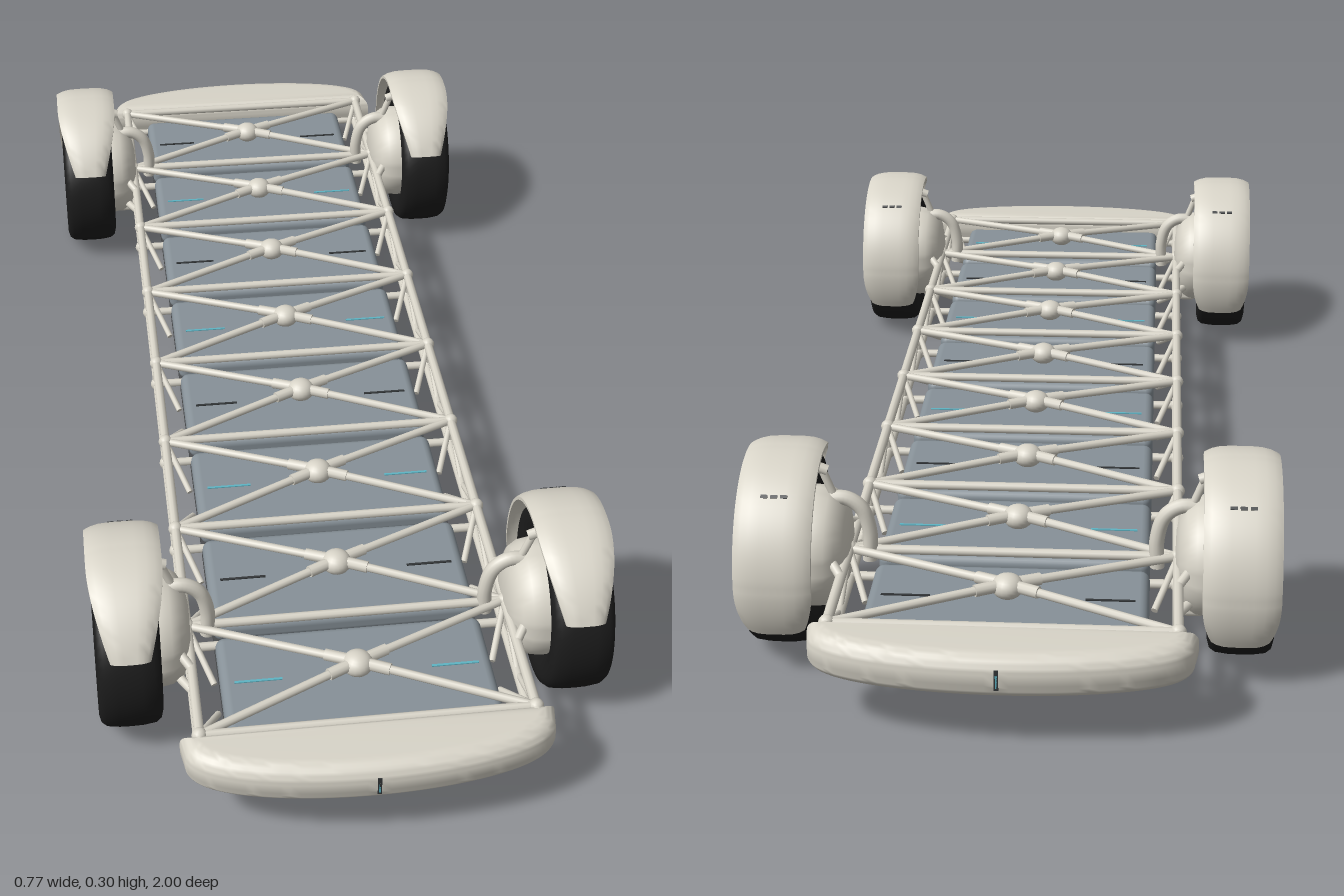
import * as THREE from 'three';
import { toCreasedNormals } from 'three/addons/utils/BufferGeometryUtils.js';
import { RoundedBoxGeometry } from 'three/addons/geometries/RoundedBoxGeometry.js';

const mat = (color, extra = {}) => new THREE.MeshStandardMaterial({ color, ...extra });
const BODY = mat(0xd8d4c8), SHELL = mat(0xd8d4c8, { side: THREE.DoubleSide });
const TYRE = mat(0x1c1c1c), CAP = mat(0xd2d2ce), PANEL = mat(0x879198);
const BELLY = mat(0x4a4c4e), DARK = mat(0x333638), LIGHT = mat(0x5fb4c4);
const V = (x, y, z) => new THREE.Vector3(x, y, z);
const BAYS = 8, PITCH = 0.224, END = BAYS * PITCH / 2;
const RAIL_X = 0.24, TOP_Y = 0.141, LOW_Y = 0.096;
const WHEEL_X = 0.331, WHEEL_Y = 0.146, WHEEL_Z = 0.673;

function add(parent, name, geometry, material, x = 0, y = 0, z = 0) {
  const mesh = new THREE.Mesh(geometry, material);
  mesh.name = name;
  mesh.position.set(x, y, z);
  parent.add(mesh);
  return mesh;
}

// Straight round bar between two points
function bar(parent, name, a, b, r, material = BODY) {
  const dir = b.clone().sub(a);
  const mesh = add(parent, name, new THREE.CylinderGeometry(r, r, dir.length(), 10), material);
  mesh.position.copy(a).add(b).multiplyScalar(0.5);
  mesh.quaternion.setFromUnitVectors(V(0, 1, 0), dir.normalize());
}

// Turned part with its axis along x
function turned(points, creased = 0.6) {
  const g = new THREE.LatheGeometry(points.map(p => new THREE.Vector2(...p)), 56);
  g.rotateZ(-Math.PI / 2);
  return toCreasedNormals(g, creased);
}

// Thin curved shell wrapping the top and back of a wheel, narrow at its front
function fenderGeometry() {
  const N = 48, M = 11, pos = [], idx = [];
  const a0 = THREE.MathUtils.degToRad(24), a1 = THREE.MathUtils.degToRad(207);
  for (let i = 0; i <= N; i++) {
    const t = i / N, a = a0 + (a1 - a0) * t;
    const w = 0.029 + 0.026 * Math.sin(Math.min(1, t / 0.32) * Math.PI / 2)
      - 0.014 * Math.max(0, (t - 0.85) / 0.15) ** 2;
    for (let j = 0; j < 2 * M; j++) {
      const inner = j >= M, k = inner ? 2 * M - 1 - j : j;
      const u = Math.sin((k / (M - 1) - 0.5) * Math.PI);
      const r = 0.159 - 0.009 * u ** 4 - (inner ? 0.005 : 0);
      pos.push(w * u, r * Math.sin(a), r * Math.cos(a));
    }
  }
  const L = 2 * M;
  for (let i = 0; i < N; i++) for (let j = 0; j < L; j++) {
    const p = i * L + j, q = i * L + (j + 1) % L;
    idx.push(p, q, p + L, q, q + L, p + L);
  }
  for (let k = 0; k < M - 1; k++) {
    const a = k, b = k + 1, c = L - 2 - k, d = L - 1 - k, e = N * L;
    idx.push(a, c, b, a, d, c, e + a, e + b, e + c, e + a, e + c, e + d);
  }
  const g = new THREE.BufferGeometry();
  g.setAttribute('position', new THREE.Float32BufferAttribute(pos, 3));
  g.setIndex(idx);
  return toCreasedNormals(g, 0.7);
}

// Rounded bumper, crescent-shaped from above
function bumperGeometry() {
  const s = new THREE.Shape();
  s.moveTo(-0.238, 0.917);
  s.lineTo(0.238, 0.917);
  s.bezierCurveTo(0.235, 0.945, 0.13, 0.973, 0, 0.973);
  s.bezierCurveTo(-0.13, 0.973, -0.235, 0.945, -0.238, 0.917);
  const g = new THREE.ExtrudeGeometry(s, {
    depth: 0.015, bevelThickness: 0.025, bevelSize: 0.027, bevelSegments: 8, curveSegments: 24 });
  g.rotateX(Math.PI / 2);
  g.translate(0, 0.125, 0);
  return toCreasedNormals(g, 0.7);
}

function buildCorner(root, s, z) {
  const corner = new THREE.Group();
  corner.name = 'wheelCorner';
  root.add(corner);

  // Wheel, cap and motor dome
  const wheel = new THREE.Group();
  wheel.name = 'wheel';
  wheel.position.set(s * WHEEL_X, WHEEL_Y, z);
  if (s < 0) wheel.rotation.y = Math.PI;
  corner.add(wheel);
  add(wheel, 'tyre', turned([[0.088, -0.036], [0.105, -0.044], [0.122, -0.047], [0.133, -0.044],
    [0.139, -0.036], [0.1415, -0.018], [0.142, 0], [0.1415, 0.018], [0.139, 0.036], [0.133, 0.044],
    [0.122, 0.047], [0.105, 0.044], [0.088, 0.036]], 1), TYRE);
  add(wheel, 'wheelCap', turned([[0, -0.036], [0.095, -0.036], [0.095, 0.042], [0.092, 0.0445], [0, 0.046]]), CAP);
  add(wheel, 'hubMotor', turned([[0, -0.095], [0.035, -0.094], [0.06, -0.089], [0.077, -0.079],
    [0.086, -0.065], [0.089, -0.048], [0.089, -0.03]], 1), BODY);
  const ring = add(wheel, 'capRing', new THREE.TorusGeometry(0.027, 0.0014, 8, 40), LIGHT, 0.046);
  ring.rotation.y = Math.PI / 2;

  // Fender with three small marks
  const fx = s * 0.328;
  add(corner, 'fender', fenderGeometry(), SHELL, fx, WHEEL_Y, z);
  const a = THREE.MathUtils.degToRad(129);
  for (const d of [-1, 0, 1]) {
    const mark = add(corner, 'fenderMark', new THREE.BoxGeometry(0.01, 0.002, 0.005), DARK,
      fx + d * 0.014, WHEEL_Y + 0.159 * Math.sin(a), z + 0.159 * Math.cos(a));
    mark.rotation.x = Math.PI / 2 - a;
  }

  // Curved arm over the motor, fender strut and wishbones
  const arm = new THREE.CatmullRomCurve3([V(s * 0.21, 0.125, z), V(s * 0.209, 0.17, z),
    V(s * 0.22, 0.207, z), V(s * 0.243, 0.223, z), V(s * 0.275, 0.22, z)]);
  add(corner, 'archArm', new THREE.TubeGeometry(arm, 24, 0.011, 12), BODY);
  bar(corner, 'fenderStrut', V(s * 0.258, 0.222, z), V(s * 0.276, 0.268, z), 0.006);
  bar(corner, 'fenderStrutHead', V(s * 0.268, 0.266, z), V(s * 0.29, 0.274, z), 0.008);
  bar(corner, 'strutLink', V(s * 0.276, 0.268, z), V(s * 0.3, 0.299, z), 0.005);
  for (const d of [-1, 1]) {
    bar(corner, 'upperWishbone', V(s * RAIL_X, TOP_Y, z + d * 0.09), V(s * 0.27, 0.165, z + d * 0.05), 0.007);
    bar(corner, 'lowerWishbone', V(s * RAIL_X, LOW_Y, z + d * 0.09), V(s * 0.27, 0.1, z + d * 0.04), 0.007);
  }
  add(corner, 'lowerBracket', new RoundedBoxGeometry(0.034, 0.05, 0.06, 2, 0.008), BODY, s * 0.263, 0.083, z);
}

export function createModel() {
  const root = new THREE.Group();
  root.name = 'rollingChassis';

  // Side rails
  for (const s of [-1, 1]) for (const y of [TOP_Y, LOW_Y])
    bar(root, 'sideRail', V(s * RAIL_X, y, -END - 0.02), V(s * RAIL_X, y, END + 0.02), 0.0075);

  // Cross members with joints at the rails
  for (let i = 0; i <= BAYS; i++) {
    const z = -END + i * PITCH;
    bar(root, 'upperCrossBar', V(-RAIL_X, TOP_Y, z), V(RAIL_X, TOP_Y, z), 0.007);
    bar(root, 'lowerCrossBar', V(-RAIL_X, LOW_Y, z), V(RAIL_X, LOW_Y, z), 0.007);
    for (const s of [-1, 1]) {
      bar(root, 'railPost', V(s * RAIL_X, LOW_Y, z), V(s * RAIL_X, TOP_Y, z), 0.007);
      for (const y of [TOP_Y, LOW_Y])
        add(root, 'railJoint', new THREE.SphereGeometry(0.0115, 12, 8), BODY, s * RAIL_X, y, z);
    }
  }

  // Bays: battery panel, belly plate, crossed braces and centre node
  for (let i = 0; i < BAYS; i++) {
    const z = -END + (i + 0.5) * PITCH;
    add(root, 'batteryPanel', new RoundedBoxGeometry(0.4, 0.036, 0.205, 3, 0.014), PANEL, 0, 0.108, z);
    add(root, 'bellyPlate', new THREE.BoxGeometry(0.4, 0.01, 0.218), BELLY, 0, 0.09, z);
    const node = add(root, 'braceNode', new THREE.SphereGeometry(0.023, 20, 14), BODY, 0, 0.145, z);
    node.scale.y = 0.8;
    for (const s of [-1, 1]) {
      add(root, 'panelStrip', new THREE.BoxGeometry(0.07, 0.002, 0.004), i % 2 ? LIGHT : DARK, s * 0.145, 0.1265, z);
      for (const d of [-1, 1]) {
        const ze = z + d * PITCH / 2;
        bar(root, 'topBrace', V(s * RAIL_X, TOP_Y, ze), V(0, 0.148, z), 0.0065);
        bar(root, 'nodeCollar', V(s * 0.045, 0.147, z + d * 0.021), V(0, 0.148, z), 0.009);
        bar(root, 'sideBrace', V(s * RAIL_X, TOP_Y, ze), V(s * 0.207, LOW_Y, z + d * 0.03), 0.005);
        bar(root, 'railBrace', V(s * RAIL_X, TOP_Y, ze), V(s * RAIL_X, LOW_Y, z), 0.0045);
      }
    }
  }

  // Bumpers with a slim centre lamp
  for (const turn of [0, Math.PI]) {
    const bumper = new THREE.Group();
    bumper.name = turn ? 'rearBumper' : 'frontBumper';
    bumper.rotation.y = turn;
    add(bumper, 'bumperShell', bumperGeometry(), BODY);
    add(bumper, 'lampFrame', new THREE.BoxGeometry(0.006, 0.03, 0.004), DARK, 0, 0.118, 0.998);
    add(bumper, 'lamp', new THREE.BoxGeometry(0.003, 0.02, 0.003), LIGHT, 0, 0.116, 0.9985);
    root.add(bumper);
  }

  for (const s of [-1, 1]) for (const z of [-WHEEL_Z, WHEEL_Z]) buildCorner(root, s, z);
  return root;
}
